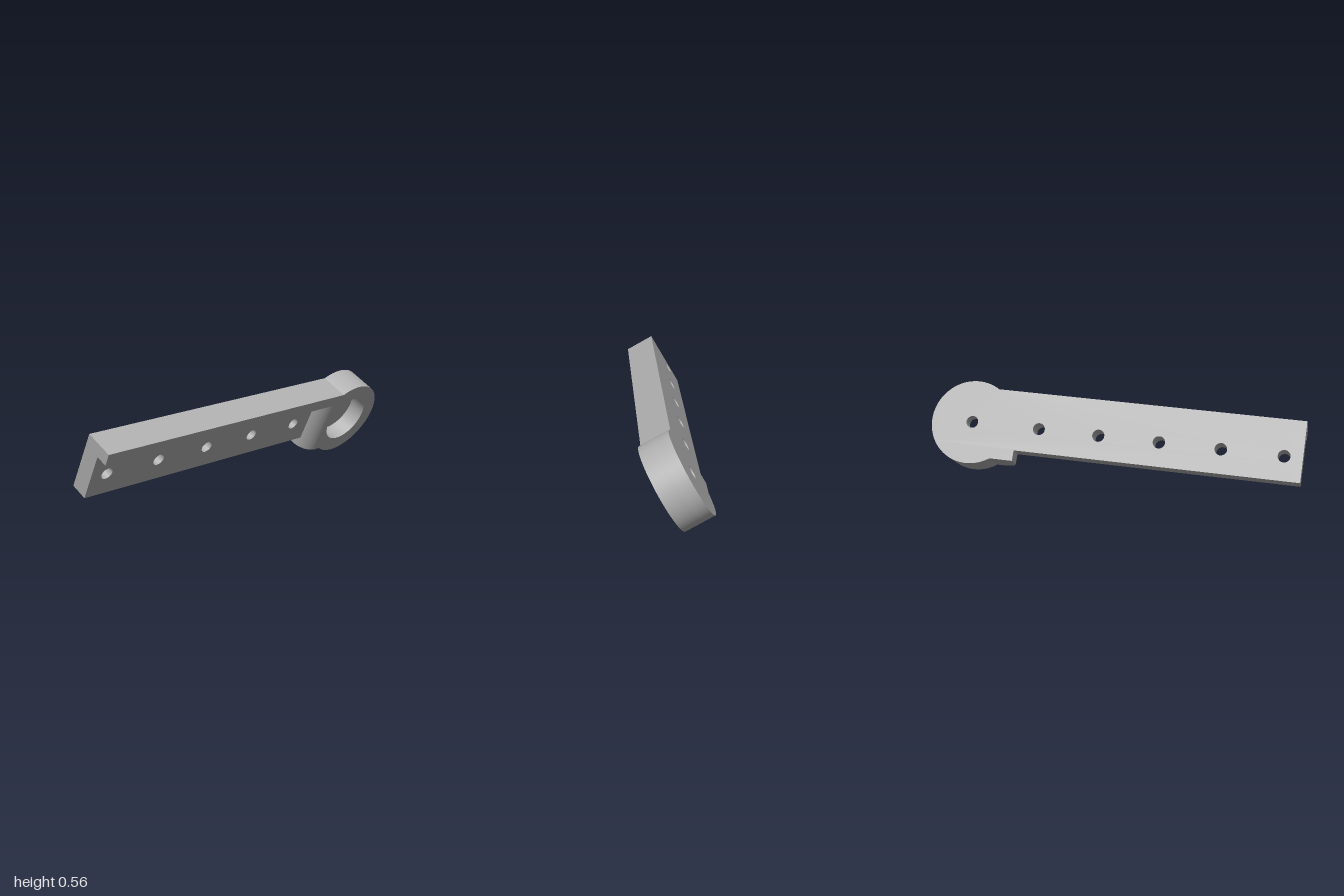
import * as THREE from 'three';
import { toCreasedNormals } from 'three/addons/utils/BufferGeometryUtils.js';

// Part space: x along the arm, y across its width (0 = upper edge), z out of the flat back.
const WIDTH = 0.378, FLOOR = 0.0755, PLATE = 0.113, DEPTH = 0.189, LIP = 0.0755;
const RING = { x: 2.062, y: -0.227, outer: 0.265, inner: 0.165 };
const HOLE = 0.038, HOLE_Y = -0.227;
const STEP_X = 1.765, STEP_Y = -0.445, ROUND = 0.11;
const holeXs = [0, 1, 2, 3, 4].map(i => 0.112 + i * 0.379);

export function createModel() {
  const model = new THREE.Group();
  model.name = 'armWithSocket';
  const grey = new THREE.MeshStandardMaterial({ color: 0xb0b0b0 });
  grey.name = 'plain grey';

  const extrude = (shape, depth) => toCreasedNormals(
    new THREE.ExtrudeGeometry(shape, { depth, bevelEnabled: false, curveSegments: 32 }), 0.5);
  const add = (name, geometry) => {
    const mesh = new THREE.Mesh(geometry, grey);
    mesh.name = name;
    model.add(mesh);
  };
  const polygon = pts => new THREE.Shape(pts.map(([x, y]) => new THREE.Vector2(x, y)));
  const bore = (shape, x, y, r) => shape.holes.push(new THREE.Path().absarc(x, y, r, 0, Math.PI * 2, true));

  // Adds the round head to an outline, from the lower step round to the upper edge
  const roundHead = shape => {
    const low = Math.asin((STEP_Y - RING.y) / RING.outer);
    const high = Math.asin(-RING.y / RING.outer);
    shape.absarc(RING.x, RING.y, RING.outer, -Math.PI - low, Math.PI - high, false);
  };

  // Back layer: arm and socket floor in one outline, with all six holes
  const back = polygon([[0, 0], [0, -WIDTH], [STEP_X, -WIDTH], [STEP_X, STEP_Y]]);
  roundHead(back);
  holeXs.forEach(x => bore(back, x, HOLE_Y, HOLE));
  bore(back, RING.x, RING.y, HOLE);
  add('backPlate', extrude(back, FLOOR));

  // Front layer of the arm
  const front = polygon([[0, -LIP], [0, -WIDTH], [STEP_X + 0.015, -WIDTH], [STEP_X + 0.015, -LIP]]);
  holeXs.forEach(x => bore(front, x, HOLE_Y, HOLE));
  add('armPlate', extrude(front, PLATE - FLOOR).translate(0, 0, FLOOR));

  // Lip along the upper edge
  const headX = STEP_X + ROUND;
  const lip = polygon([[0, 0], [0, -LIP], [headX, -LIP], [headX, 0]]);
  add('upperLip', extrude(lip, DEPTH - FLOOR).translate(0, 0, FLOOR));

  // Head with the wide round socket
  const head = polygon([[headX, 0], [headX, STEP_Y]]);
  roundHead(head);
  bore(head, RING.x, RING.y, RING.inner);
  add('socketRing', extrude(head, DEPTH - FLOOR).translate(0, 0, FLOOR));

  // Rounded shoulder between arm and head: profile in x and z, swept across the width
  const shoulder = polygon([[headX, FLOOR], [headX, DEPTH]]);
  shoulder.absarc(headX, DEPTH - ROUND, ROUND, Math.PI / 2, Math.PI, false);
  shoulder.lineTo(STEP_X, FLOOR);
  add('roundedShoulder', extrude(shoulder, -LIP - STEP_Y).rotateX(Math.PI / 2).translate(0, -LIP, 0));

  // Tilt the whole part into its resting pose
  const along = new THREE.Vector3(0.635, 0.047, -0.771).normalize();
  const across = new THREE.Vector3(0.349, 0.872, 0.341);
  const out = along.clone().cross(across).normalize();
  across.crossVectors(out, along);
  model.quaternion.setFromRotationMatrix(new THREE.Matrix4().makeBasis(along, across, out));
  model.position.set(-0.71, 0.426, 0.895);
  return model;
}
